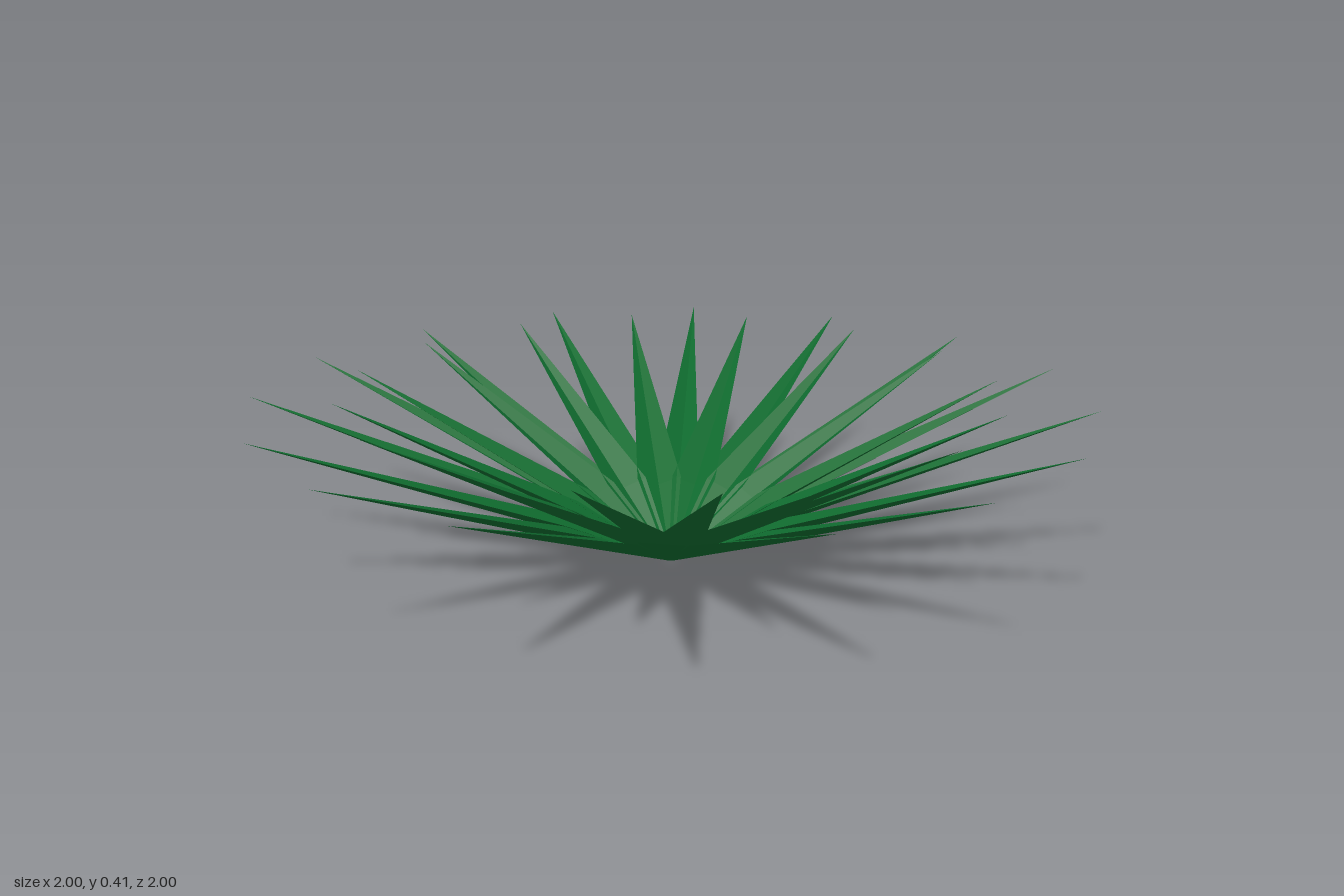
import * as THREE from 'three';

const material = new THREE.MeshStandardMaterial({
  color: 0x0f6a2e, flatShading: true, side: THREE.DoubleSide,
});

// Pointed leaf folded along its keel, running outwards along +z and pitched upwards.
function leafGeometry(reach, height, halfWidth, fold) {
  const start = 0.012;
  const length = Math.hypot(reach - start, height);
  // fraction of length, fraction of width
  const sections = [[0, 0.15], [0.28, 1], [1, 0]];
  const positions = [];
  for (const [t, w] of sections) {
    for (const side of [-1, 0, 1]) {
      positions.push(side * w * halfWidth, Math.abs(side) * w * fold, t * length);
    }
  }
  const index = [];
  for (let s = 0; s < sections.length - 1; s++) {
    for (let k = 0; k < 2; k++) {
      const a = s * 3 + k, b = a + 1, c = a + 3, d = a + 4;
      index.push(a, c, b);
      if (s < sections.length - 2) index.push(b, c, d);
    }
  }
  const geometry = new THREE.BufferGeometry();
  geometry.setAttribute('position', new THREE.Float32BufferAttribute(positions, 3));
  geometry.setIndex(index);
  geometry.rotateX(-Math.atan2(height, reach - start));
  geometry.translate(0, 0, start);
  geometry.computeVertexNormals();
  return geometry;
}

// Ring of equal leaves around the vertical axis.
function leafRing(name, count, offset, geometry) {
  const ring = new THREE.Group();
  ring.name = name;
  for (let i = 0; i < count; i++) {
    const leaf = new THREE.Mesh(geometry, material);
    leaf.name = 'leaf';
    leaf.rotation.y = ((i + offset) / count) * Math.PI * 2;
    ring.add(leaf);
  }
  return ring;
}

export function createModel() {
  const plant = new THREE.Group();
  plant.name = 'spikyPlant';
  plant.add(
    leafRing('outerLeaves', 16, 0, leafGeometry(1, 0.385, 0.052, 0.025)),
    leafRing('innerLeaves', 16, 0.5, leafGeometry(0.787, 0.415, 0.054, 0.025)),
  );
  return plant;
}
